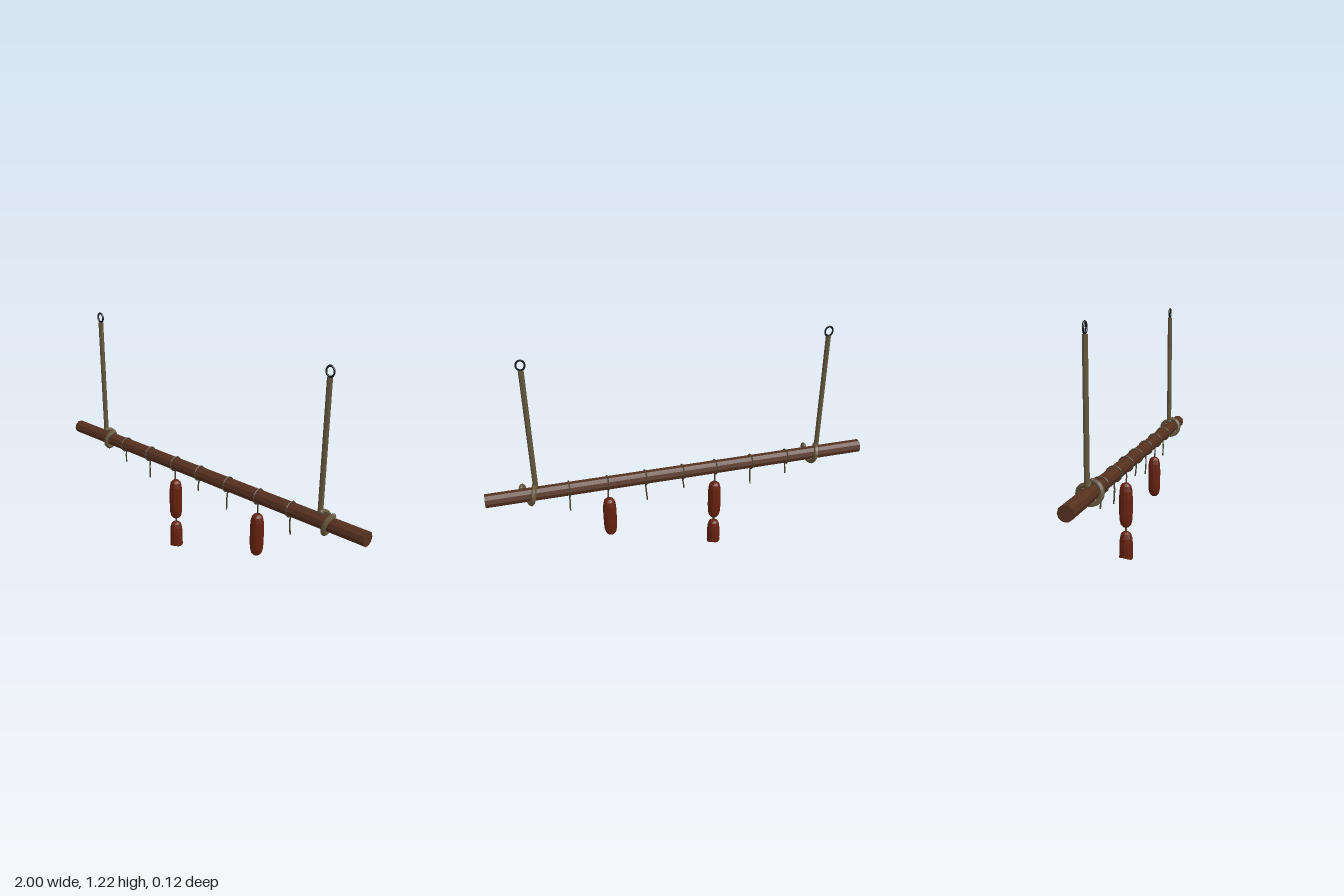
import * as THREE from 'three';

const POLE_Y = 0.493;

function flat(name, color) {
  const m = new THREE.MeshStandardMaterial({ color, flatShading: true });
  m.name = name;
  return m;
}

export function createModel() {
  const wood = flat('dark wood', 0x55301f);
  const ropeMat = flat('rope', 0x64563c);
  const twineMat = flat('twine', 0x4b4330);
  const iron = flat('dark iron', 0x12191b);
  const meat = flat('sausage skin', 0x66210f);
  const cutMat = flat('bitten meat', 0x4a170c);

  const model = new THREE.Group();
  const add = (name, geometry, material, parent = model) => {
    const mesh = new THREE.Mesh(geometry, material);
    mesh.name = name;
    parent.add(mesh);
    return mesh;
  };
  const tube = (points, radius, segments, sides) => new THREE.TubeGeometry(
    new THREE.CatmullRomCurve3(points.map(p => new THREE.Vector3(...p))), segments, radius, sides);

  // Horizontal pole
  const pole = add('pole', new THREE.CylinderGeometry(0.036, 0.036, 2, 10), wood);
  pole.rotation.z = Math.PI / 2;
  pole.position.y = POLE_Y;

  // Hanging ropes: straight run, one sloping turn round the pole, iron eye on top
  for (const x of [-0.75, 0.75]) {
    const hanger = new THREE.Group();
    hanger.name = 'hanger';
    hanger.position.x = x;
    model.add(hanger);
    const run = add('rope', new THREE.CylinderGeometry(0.013, 0.013, 0.63, 8), ropeMat, hanger);
    run.position.y = 0.85;
    const turn = [];
    for (let i = 0; i <= 10; i++) {
      const a = i / 10 * Math.PI * 2;
      turn.push([0.004 + 0.066 * i / 10, POLE_Y + 0.048 * Math.cos(a), -0.048 * Math.sin(a)]);
    }
    add('ropeTurn', tube(turn, 0.012, 20, 6), ropeMat, hanger);
    const foot = add('ropeKnot', new THREE.IcosahedronGeometry(0.016, 1), ropeMat, hanger);
    foot.position.set(0.003, POLE_Y + 0.046, 0);
    const tip = add('ropeEnd', new THREE.IcosahedronGeometry(0.012, 1), ropeMat, hanger);
    tip.position.set(0.07, POLE_Y + 0.048, 0);
    const eye = add('eyeRing', new THREE.TorusGeometry(0.024, 0.005, 6, 16), iron, hanger);
    eye.scale.x = 0.85;
    eye.position.y = 1.191;
  }

  // Twine loops with loose tails: [x, tail end y, sideways drift]
  const ties = [[-0.575, 0.385, -0.006], [-0.377, 0.35, -0.005], [-0.18, 0.385, 0],
    [-0.002, 0.39, -0.009], [0.195, 0.35, -0.007], [0.392, 0.39, 0], [0.587, 0.36, 0.004]];
  for (const [x, end, drift] of ties) {
    const tie = new THREE.Group();
    tie.name = 'twineTie';
    tie.position.x = x;
    model.add(tie);
    const loop = add('twineLoop', new THREE.TorusGeometry(0.038, 0.004, 5, 12), twineMat, tie);
    loop.rotation.y = Math.PI / 2;
    loop.position.y = POLE_Y;
    const knot = add('twineKnot', new THREE.IcosahedronGeometry(0.007, 0), twineMat, tie);
    knot.position.y = POLE_Y - 0.04;
    add('twineTail', tube([[0, POLE_Y - 0.038, 0], [drift * 0.3, (POLE_Y + end) / 2, 0.003],
      [drift, end, 0]], 0.004, 6, 5), twineMat, tie);
  }

  // Sausages: lathe profile with tapered ends
  const profile = pts => pts.map(p => new THREE.Vector2(...p));
  const whole = profile([[0, -0.114], [0.016, -0.112], [0.027, -0.1], [0.033, -0.075], [0.035, -0.04],
    [0.035, 0.04], [0.033, 0.075], [0.027, 0.1], [0.016, 0.112], [0, 0.114]]);
  for (const x of [-0.18, 0.39]) {
    add('sausage', new THREE.LatheGeometry(whole, 12), meat).position.set(x, 0.283, 0);
  }
  const link = add('linkTwine', new THREE.CylinderGeometry(0.005, 0.005, 0.04, 6), twineMat);
  link.position.set(-0.18, 0.157, 0);

  // Half-eaten sausage: the lower rim is shifted up and down for a ragged bite
  const ragged = geometry => {
    const p = geometry.attributes.position;
    for (let i = 0; i < p.count; i++) {
      if (p.getY(i) > 0.02) continue;
      const a = Math.atan2(p.getX(i), p.getZ(i));
      const r = Math.hypot(p.getX(i), p.getZ(i)) / 0.036;
      p.setY(i, p.getY(i) + r * (0.004 * Math.sin(3 * a) + 0.004 * Math.cos(a + 2.6)));
    }
    geometry.computeVertexNormals();
    return geometry;
  };
  const half = profile([[0.036, 0.01], [0.035, 0.035], [0.035, 0.085], [0.032, 0.112],
    [0.025, 0.135], [0.014, 0.144], [0, 0.146]]);
  add('bittenSausage', ragged(new THREE.LatheGeometry(half, 12)), meat).position.x = -0.18;
  const bite = profile([[0, 0.016], [0.014, 0.003], [0.028, 0.014], [0.036, 0.01]]);
  add('biteFace', ragged(new THREE.LatheGeometry(bite, 12)), cutMat).position.x = -0.18;

  return model;
}
